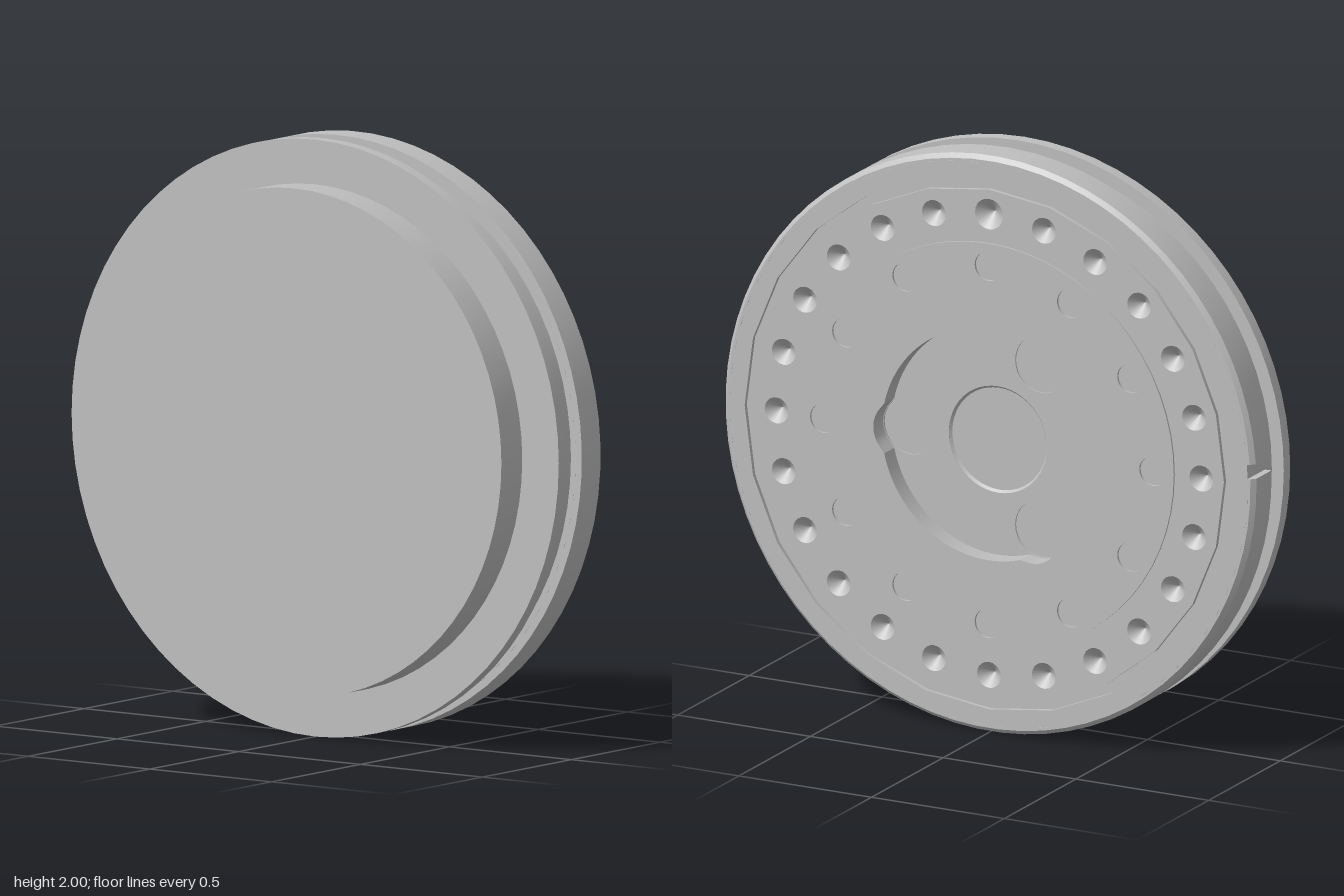
import * as THREE from 'three';
import { toCreasedNormals } from 'three/addons/utils/BufferGeometryUtils.js';

const TAU = Math.PI * 2;
const metal = new THREE.MeshStandardMaterial({ color: 0xbfbfbf, side: THREE.DoubleSide });
metal.name = 'greyMetal';

// closed outline from a polar radius rule, around (cx, cy)
function outline(radius, n, cx = 0, cy = 0) {
  const pts = [];
  for (let i = 0; i < n; i++) {
    const a = (i / n) * TAU;
    const r = typeof radius === 'function' ? radius(a) : radius;
    pts.push(new THREE.Vector2(cx + r * Math.cos(a), cy + r * Math.sin(a)));
  }
  return pts;
}

function plate(outer, holes) {
  const s = new THREE.Shape(outer);
  s.holes = holes.map((h) => new THREE.Path(h));
  return s;
}

// lathe turned so that its axis is z
function turned(points, segments, start = 0, length = TAU) {
  const g = new THREE.LatheGeometry(points.map(([r, z]) => new THREE.Vector2(r, z)), segments, start, length);
  return g.rotateX(Math.PI / 2);
}

const polar = (r, n, offset = 0) => Array.from({ length: n }, (_, i) => {
  const a = offset + (i / n) * TAU;
  return [r * Math.cos(a), r * Math.sin(a)];
});

export function createModel() {
  const wheel = new THREE.Group();
  wheel.name = 'disc';

  function add(name, geometry, x = 0, y = 0, z = 0) {
    const mesh = new THREE.Mesh(toCreasedNormals(geometry, 0.4), metal);
    mesh.name = name;
    mesh.position.set(x, y, z);
    wheel.add(mesh);
    return mesh;
  }
  const extrude = (shape, depth) => new THREE.ExtrudeGeometry(shape, { depth, bevelEnabled: false });

  // rear boss, flange, and grooved body
  add('body', turned([
    [0, -0.187], [0.85, -0.187], [0.85, -0.07], [1, -0.07], [1, -0.025],
    [0.955, -0.025], [0.955, 0.06], [0.975, 0.06], [0.975, 0.18],
  ], 72));

  // front rim, interrupted by a small slot
  const rimProfile = [[0.975, 0.06], [1, 0.06], [1, 0.165], [0.985, 0.18], [0.975, 0.18]];
  const slot = 0.05, half = 0.025;
  add('rim', turned(rimProfile, 72, Math.PI / 2 + slot + half, TAU - 2 * half));
  for (const side of [-1, 1]) {
    const cap = new THREE.ShapeGeometry(new THREE.Shape(rimProfile.map(([r, z]) => new THREE.Vector2(r, z))));
    add('slotWall', cap.rotateX(Math.PI / 2).rotateZ(slot + side * half));
  }

  // front band and the shallow faceted groove inside it
  add('frontBand', new THREE.ShapeGeometry(plate(outline(0.975, 72), [outline(0.92, 24)])), 0, 0, 0.18);
  add('faceGroove', turned([[0.92, 0.18], [0.92, 0.165], [0.885, 0.165], [0.885, 0.18]], 24));

  // ring of conical dimples, the top one slightly larger
  const dimples = polar(0.8, 24).map(([x, y], i) => ({ x, y, r: i === 6 ? 0.053 : 0.045 }));
  add('dimpleRing', new THREE.ShapeGeometry(plate(outline(0.885, 24),
    [outline(0.69, 64), ...dimples.map((d) => outline(d.r, 20, d.x, d.y))])), 0, 0, 0.18);
  for (const d of dimples) add('dimple', turned([[d.r, 0], [0, -0.045]], 20), d.x, d.y, 0.18);

  // raised plate with twelve shallow holes and a three-lobed recess
  const lobeDistance = 0.33, lobeRadius = 0.102;
  const lobes = polar(lobeDistance, 3, Math.PI / 3);
  const recess = (a) => {
    let r = 0.4;
    for (const [x, y] of lobes) {
      const d = a - Math.atan2(y, x);
      const q = lobeRadius ** 2 - (lobeDistance * Math.sin(d)) ** 2;
      if (q > 0) r = Math.max(r, lobeDistance * Math.cos(d) + Math.sqrt(q));
    }
    return r;
  };
  const pits = polar(0.62, 12);
  add('facePlate', extrude(plate(outline(0.7, 64),
    [outline(recess, 144), ...pits.map(([x, y]) => outline(0.05, 24, x, y))]), 0.075), 0, 0, 0.112);
  for (const [x, y] of pits) add('pitFloor', new THREE.CircleGeometry(0.052, 24), x, y, 0.178);

  // recess floor with sunken lobe seats and centre
  add('recessFloor', extrude(plate(outline(0.46, 64),
    [outline(0.185, 48), ...lobes.map(([x, y]) => outline(0.1, 32, x, y))]), 0.02), 0, 0, 0.097);
  for (const [x, y] of lobes) add('lobeSeat', new THREE.CircleGeometry(0.104, 32), x, y, 0.111);
  add('centreSeat', turned([[0.186, 0.117], [0.177, 0.107], [0, 0.107]], 48));

  // face the disc along +x and stand it on the ground
  wheel.rotation.y = Math.PI / 2;
  wheel.position.y = 1;
  const model = new THREE.Group();
  model.name = 'flangedDisc';
  model.add(wheel);
  return model;
}
